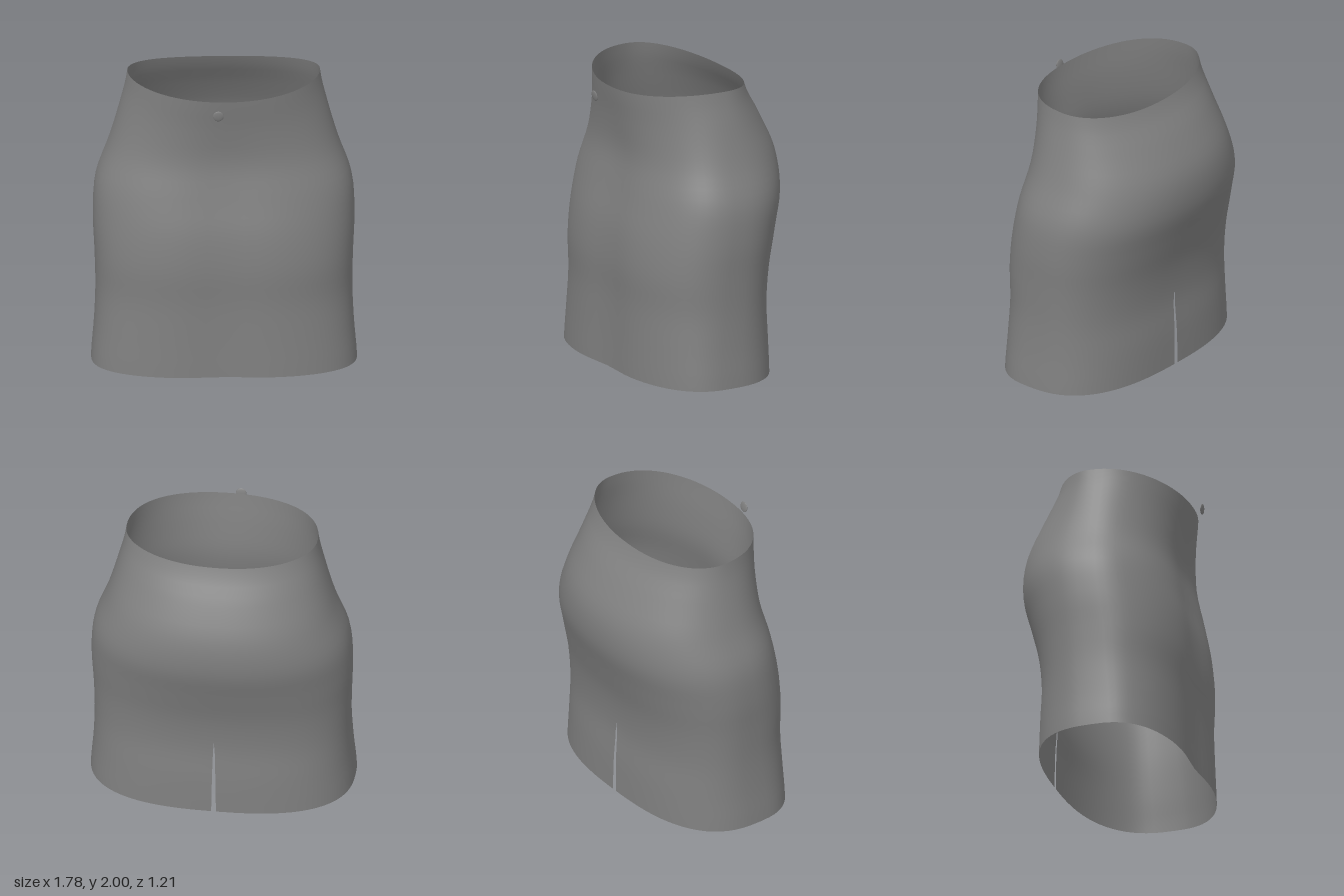
import * as THREE from 'three';
import { mergeVertices } from 'three/addons/utils/BufferGeometryUtils.js';

// Cross-sections: height, half width, front z, back z, z of the widest point,
// front squareness, back squareness
const SECTIONS = [
  [0.0, 0.89, 0.56, -0.45, 0.1, 2.65, 2.6],
  [0.25, 0.87, 0.556, -0.446, 0.08, 2.65, 2.55],
  [0.5, 0.86, 0.556, -0.434, 0.05, 2.6, 2.5],
  [0.75, 0.866, 0.566, -0.462, 0.03, 2.6, 2.4],
  [1.0, 0.876, 0.55, -0.528, 0.0, 2.5, 2.25],
  [1.25, 0.857, 0.505, -0.594, -0.02, 2.45, 2.2],
  [1.5, 0.77, 0.468, -0.585, -0.02, 2.3, 2.2],
  [1.75, 0.7, 0.483, -0.48, 0.0, 2.1, 2.15],
  [2.0, 0.645, 0.51, -0.35, 0.0, 2.1, 2.15],
];
const ROWS = 32, COLS = 72, SLIT_TOP = 0.56, SLIT_GAP = 0.016;

// Superellipse coordinate
const bend = (v, n) => Math.sign(v) * Math.pow(Math.abs(v), 2 / n);

function skirtGeometry() {
  const curves = [1, 2, 3, 4, 5, 6].map(
    (k) => new THREE.SplineCurve(SECTIONS.map((s) => new THREE.Vector2(s[0], s[k])))
  );
  const positions = [], index = [];
  for (let i = 0; i <= ROWS; i++) {
    const t = i / ROWS;
    const height = 2 * t;
    const [w, front, back, mid, nFront, nBack] = curves.map((c) => c.getPoint(t).y);
    const rim = t ** 4;
    for (let j = 0; j <= COLS; j++) {
      // The loop starts and ends at the centre back, where the slit opens
      const a = (j / COLS) * Math.PI * 2;
      const s = Math.abs(Math.sin(a)) < 1e-6 ? 0 : Math.sin(a);
      const c = -Math.cos(a);
      const n = c > 0 ? nFront : nBack;
      let x = w * bend(s, n);
      let z = mid + (c > 0 ? front - mid : mid - back) * bend(c, n);
      // Shallow hollow down the centre front
      if (c > 0) z -= 0.028 * (1 - rim) * Math.exp(-((x / 0.22) ** 2));
      // Waistline dips at front and back
      const y = height - rim * c * c * (c > 0 ? 0.05 : 0.035);
      const open = SLIT_GAP * Math.sqrt(Math.max(0, 1 - height / SLIT_TOP));
      if (j === 0) x = open;
      if (j === COLS) x = -open;
      positions.push(x, y, z);
    }
  }
  const row = COLS + 1;
  for (let i = 0; i < ROWS; i++) {
    for (let j = 0; j < COLS; j++) {
      const p = i * row + j;
      index.push(p, p + row, p + row + 1, p, p + row + 1, p + 1);
    }
  }
  const g = new THREE.BufferGeometry();
  g.setAttribute('position', new THREE.Float32BufferAttribute(positions, 3));
  g.setIndex(index);
  // Close the centre back seam above the slit
  const merged = mergeVertices(g, 1e-4);
  merged.computeVertexNormals();
  return merged;
}

export function createModel() {
  const group = new THREE.Group();
  group.name = 'skirt';

  const fabric = new THREE.MeshStandardMaterial({ color: 0x808080, side: THREE.DoubleSide });
  fabric.name = 'grey fabric';

  // Skirt body
  const body = new THREE.Mesh(skirtGeometry(), fabric);
  body.name = 'skirtBody';
  group.add(body);

  // Flat button floating just ahead of the waistband
  const button = new THREE.Mesh(new THREE.SphereGeometry(1, 20, 12), fabric);
  button.name = 'waistButton';
  button.scale.set(0.036, 0.037, 0.007);
  button.position.set(-0.05, 1.885, 0.602);
  button.rotation.x = 0.14;
  group.add(button);

  return group;
}
